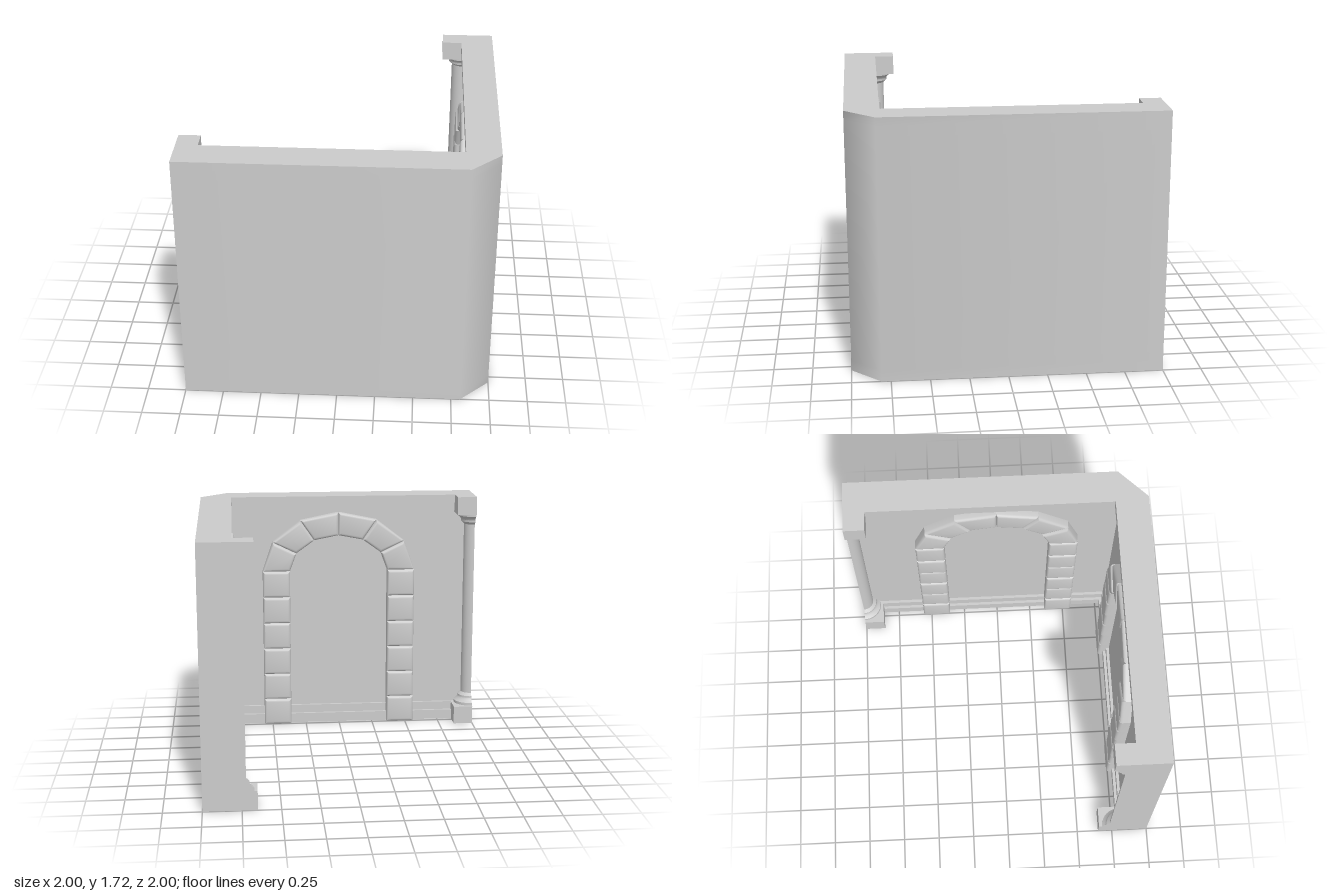
import * as THREE from 'three';
import { toCreasedNormals } from 'three/addons/utils/BufferGeometryUtils.js';

const H = 1.72;
const material = new THREE.MeshStandardMaterial({ color: 0xcccccc });

function addMesh(parent, name, geometry, crease) {
  const mesh = new THREE.Mesh(crease ? toCreasedNormals(geometry, crease) : geometry, material);
  mesh.name = name;
  parent.add(mesh);
  return mesh;
}

// L-shaped corner wall: a plan outline lofted upward, its inner face d stepping for the mouldings
function wallGeometry() {
  const levels = [[0, 0.78], [0.07, 0.78], [0.07, 0.8], [0.13, 0.8], [0.13, 0.82],
    [H - 0.12, 0.82], [H - 0.12, 0.8], [H - 0.06, 0.8], [H - 0.06, 0.78], [H, 0.78]];
  const outline = ([y, d]) => [[-1, 1], [0.81, 1], [1, 0.81], [1, -1], [d, -1], [d, d], [-1, d]]
    .map(([x, z]) => [x, y, z]);
  const pos = [];
  const tri = (...corners) => corners.forEach((c) => pos.push(...c));
  for (let k = 0; k < levels.length - 1; k++) {
    const lo = outline(levels[k]), hi = outline(levels[k + 1]);
    const ledge = levels[k][0] === levels[k + 1][0];
    for (let i = 0; i < 7; i++) {
      if (ledge && i !== 4 && i !== 5) continue; // a ledge exists only on the inner faces
      const j = (i + 1) % 7;
      tri(lo[i], lo[j], hi[j]);
      tri(lo[i], hi[j], hi[i]);
    }
  }
  // top and bottom, fanned from the inner corner
  const bottom = outline(levels[0]), top = outline(levels[levels.length - 1]);
  for (const [i, j] of [[6, 0], [0, 1], [1, 2], [2, 3], [3, 4]]) {
    tri(top[5], top[i], top[j]);
    tri(bottom[5], bottom[j], bottom[i]);
  }
  const geometry = new THREE.BufferGeometry();
  geometry.setAttribute('position', new THREE.Float32BufferAttribute(pos, 3));
  return geometry;
}

// One rounded stone from four corners, reaching forward to the given depth
function stoneGeometry(corners, depth) {
  const bevel = 0.022;
  return new THREE.ExtrudeGeometry(new THREE.Shape(corners.map(([x, y]) => new THREE.Vector2(x, y))), {
    depth: depth - bevel, bevelThickness: bevel, bevelSize: bevel, bevelOffset: -bevel, bevelSegments: 3,
  });
}

// Blind arch: two stacks of stones joined by six wedge stones
function createArch() {
  const arch = new THREE.Group();
  const inner = 0.36, outer = 0.56, spring = 1.17, rows = 6, wedges = 6;
  for (const side of [-1, 1]) {
    for (let i = 0; i < rows; i++) {
      const y0 = (spring * i) / rows, y1 = (spring * (i + 1)) / rows;
      const corners = [[inner, y0], [outer, y0], [outer, y1], [inner, y1]].map(([x, y]) => [side * x, y]);
      addMesh(arch, 'legStone', stoneGeometry(corners, i % 2 ? 0.106 : 0.11), 0.7);
    }
  }
  const at = (t, a, b) => [a * Math.cos(t), spring + b * Math.sin(t)];
  for (let i = 0; i < wedges; i++) {
    const t0 = (Math.PI * i) / wedges, t1 = (Math.PI * (i + 1)) / wedges;
    const corners = [at(t0, inner, 0.26), at(t0, outer, 0.43), at(t1, outer, 0.43), at(t1, inner, 0.26)];
    addMesh(arch, 'archStone', stoneGeometry(corners, 0.11 - 0.026 * Math.sin((t0 + t1) / 2)), 0.7);
  }
  return arch;
}

// Half column cut flat at local x = 0, with square plinth and capital
function createHalfColumn() {
  const column = new THREE.Group();
  const foot = [[0.12, 0.13], [0.12, 0.15], [0.1, 0.165], [0.09, 0.18], [0.09, 0.195], [0.068, 0.215]];
  const profile = [...foot, ...foot.map(([r, y]) => [r, H - y]).reverse()]
    .map(([r, y]) => new THREE.Vector2(r, y));
  addMesh(column, 'shaft', new THREE.LatheGeometry(profile, 20, 0, Math.PI), 0.6);
  const section = [...profile, ...profile.map((p) => new THREE.Vector2(-p.x, p.y)).reverse()];
  addMesh(column, 'shaftEndFace', new THREE.ShapeGeometry(new THREE.Shape(section)).rotateY(-Math.PI / 2));
  for (const [name, y] of [['plinth', 0.065], ['capital', H - 0.065]]) {
    addMesh(column, name, new THREE.BoxGeometry(0.14, 0.13, 0.28)).position.set(0.07, y, 0);
  }
  return column;
}

export function createModel() {
  const model = new THREE.Group();
  model.name = 'cornerWall';
  addMesh(model, 'wall', wallGeometry(), 0.9);

  const place = (part, name, x, z, turn) => {
    part.name = name;
    part.position.set(x, 0, z);
    part.rotation.y = turn;
    model.add(part);
  };
  place(createArch(), 'frontWallArch', 0, 0.85, Math.PI);
  place(createArch(), 'sideWallArch', 0.85, 0, -Math.PI / 2);
  place(createHalfColumn(), 'frontWallColumn', -1, 0.79, 0);
  place(createHalfColumn(), 'sideWallColumn', 0.79, -1, -Math.PI / 2);
  return model;
}
